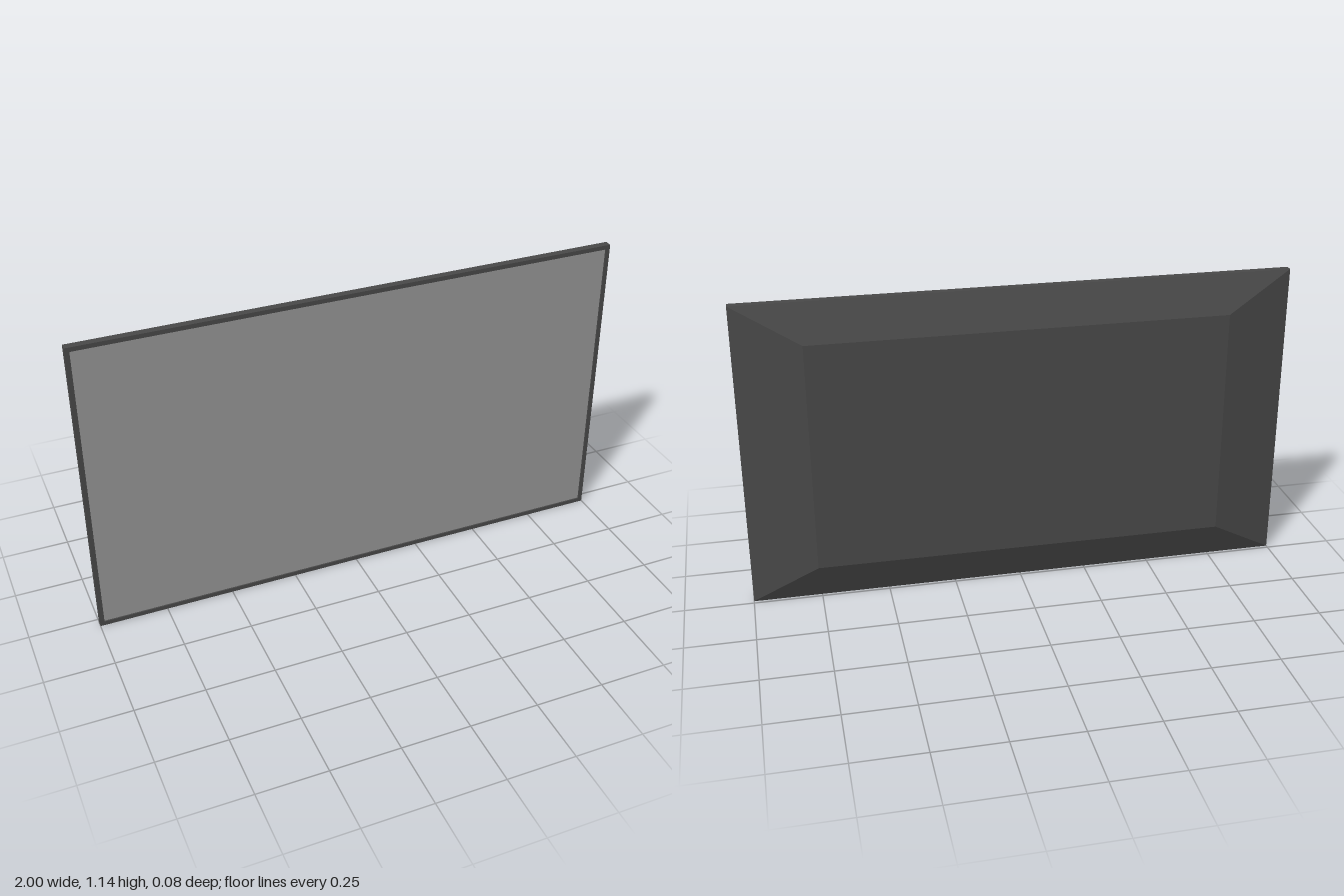
import * as THREE from 'three';

const W = 2, H = 1.14, FRONT = 0.04, SEAM = 0.013, BACK = -0.04, RIM = 0.016;

function rectangle(PathType, w, h) {
  const p = new PathType();
  p.moveTo(-w / 2, -h / 2);
  p.lineTo(w / 2, -h / 2);
  p.lineTo(w / 2, h / 2);
  p.lineTo(-w / 2, h / 2);
  p.closePath();
  return p;
}

export function createModel() {
  const group = new THREE.Group();
  const dark = new THREE.MeshStandardMaterial({ color: 0x4a4a4a });
  const grey = new THREE.MeshStandardMaterial({ color: 0x999999 });

  const add = (name, geometry, material, z) => {
    const mesh = new THREE.Mesh(geometry, material);
    mesh.name = name;
    mesh.position.set(0, H / 2, z);
    group.add(mesh);
  };

  // Thin rim around the display
  const outline = rectangle(THREE.Shape, W, H);
  outline.holes.push(rectangle(THREE.Path, W - 2 * RIM, H - 2 * RIM));
  add('frame', new THREE.ExtrudeGeometry(outline, { depth: FRONT - SEAM, bevelEnabled: false }), dark, SEAM);

  // Display surface, set slightly back inside the rim
  add('screen', new THREE.PlaneGeometry(W - 2 * RIM, H - 2 * RIM), grey, FRONT - 0.005);

  // Rear housing: a box whose back face tapers inward
  const depth = SEAM - BACK;
  const housing = new THREE.BoxGeometry(W, H, depth);
  const pos = housing.attributes.position;
  for (let i = 0; i < pos.count; i++) {
    if (pos.getZ(i) < 0) {
      pos.setX(i, Math.sign(pos.getX(i)) * 0.76);
      pos.setY(i, Math.sign(pos.getY(i)) * 0.43);
    }
  }
  housing.computeVertexNormals();
  add('backHousing', housing, dark, (SEAM + BACK) / 2);

  return group;
}
